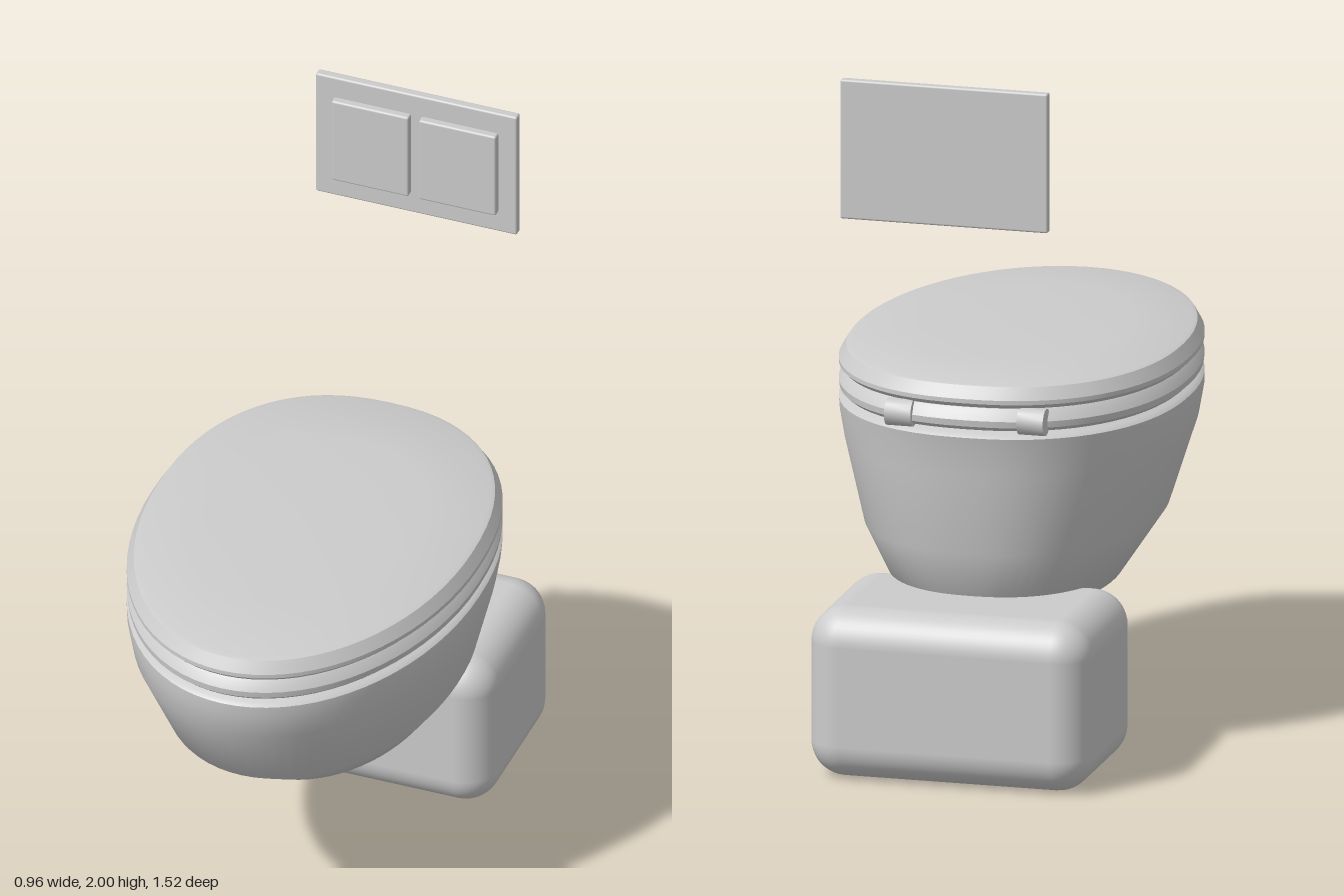
import * as THREE from 'three';
import { toCreasedNormals } from 'three/addons/utils/BufferGeometryUtils.js';
import { RoundedBoxGeometry } from 'three/addons/geometries/RoundedBoxGeometry.js';

const SIDES = 72;

// Stacks egg-shaped rings [y, half width, front z, back z] from bottom to top.
function loft(rings, crease) {
  const pos = [], index = [];
  for (const [y, w, front, back] of rings) {
    const mid = back + (front - back) * 0.455;
    for (let j = 0; j < SIDES; j++) {
      const a = (j / SIDES) * Math.PI * 2;
      const c = Math.cos(a), s = Math.sin(a);
      const e = s < 0 ? 2 / 2.3 : 1; // the back is a little squarer
      const x = Math.sign(c) * Math.abs(c) ** e * w;
      const z = mid + (s < 0 ? -(Math.abs(s) ** e) * (mid - back) : s * (front - mid));
      pos.push(x, y, z);
    }
  }
  for (let i = 0; i < rings.length - 1; i++) {
    for (let j = 0; j < SIDES; j++) {
      const k = (j + 1) % SIDES;
      const a = i * SIDES + j, b = i * SIDES + k;
      index.push(a, a + SIDES, b, b, a + SIDES, b + SIDES);
    }
  }
  const g = new THREE.BufferGeometry();
  g.setAttribute('position', new THREE.Float32BufferAttribute(pos, 3));
  g.setIndex(index);
  return toCreasedNormals(g, crease);
}

// Rim-shaped ring, inset from the full outline by d.
const rim = (y, d) => [y, 0.48 - d, 0.76 - d, -0.56 + d];
const point = (y) => [y, 0, 0.05, 0.05];

export function createModel() {
  const model = new THREE.Group();
  const ceramic = new THREE.MeshStandardMaterial({ color: 0xcccccc });
  ceramic.name = 'light grey ceramic';

  const add = (name, geometry, x = 0, y = 0, z = 0) => {
    const mesh = new THREE.Mesh(geometry, ceramic);
    mesh.name = name;
    mesh.position.set(x, y, z);
    model.add(mesh);
    return mesh;
  };

  // Bowl
  add('bowl', loft([
    [0.392, 0, -0.1, -0.1],
    [0.392, 0.16, 0.11, -0.42],
    [0.45, 0.3, 0.38, -0.475],
    [0.61, 0.4, 0.61, -0.518],
    [0.84, 0.465, 0.742, -0.542],
    [0.92, 0.479, 0.758, -0.553],
    rim(0.952, 0),
    rim(0.962, 0.012),
    point(0.962),
  ], 0.75));

  // Seat
  add('seat', loft([
    point(0.973), rim(0.973, 0.014), rim(0.984, 0.002), rim(1.002, 0),
    rim(1.024, 0.013), rim(1.034, 0.022), point(1.034),
  ], 0.6));

  // Lid with a shallow domed top
  add('lid', loft([
    point(1.038), rim(1.038, 0.012), rim(1.05, 0), rim(1.062, 0),
    rim(1.096, 0.02), [1.1, 0.448, 0.725, -0.53],
    [1.112, 0.29, 0.5, -0.31], point(1.113),
  ], 0.5));

  // Hinges
  for (const side of [-1, 1]) {
    const hinge = add('hinge', toCreasedNormals(new THREE.CylinderGeometry(0.038, 0.038, 0.075, 16), 0.7),
      side * 0.188, 1.002, -0.522);
    hinge.rotation.z = Math.PI / 2;
  }

  // Rounded mounting block behind and below the bowl
  add('wallBlock', new RoundedBoxGeometry(0.8, 0.48, 0.53, 6, 0.1), 0, 0.243, -0.495);

  // Flush plate with two buttons
  add('flushPlate', new RoundedBoxGeometry(0.59, 0.395, 0.027, 2, 0.006), 0, 1.8025, -0.7465);
  for (const side of [-1, 1]) {
    add('flushButton', new RoundedBoxGeometry(0.226, 0.265, 0.03, 2, 0.006), side * 0.128, 1.802, -0.727);
  }

  return model;
}
